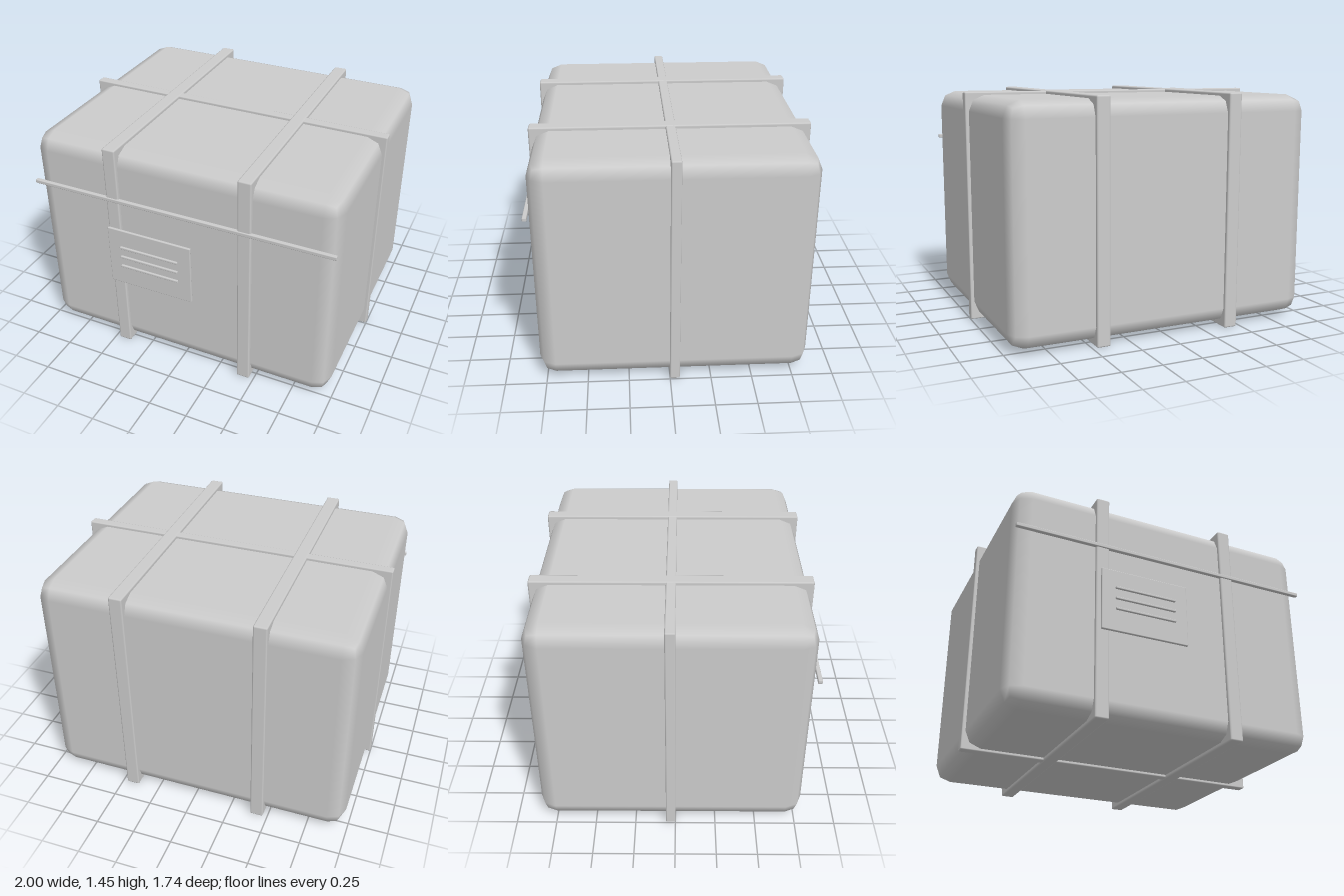
import * as THREE from 'three';
import { RoundedBoxGeometry } from 'three/addons/geometries/RoundedBoxGeometry.js';

export function createModel() {
  const group = new THREE.Group();
  const grey = new THREE.MeshStandardMaterial({ color: 0xcccccc });
  grey.name = 'light grey';

  const CENTRE_Y = 0.725, CENTRE_Z = -0.029;

  // Rounded block given by its size, centre and edge radius
  const block = (name, size, pos, radius) => {
    const mesh = new THREE.Mesh(new RoundedBoxGeometry(...size, 1, radius), grey);
    mesh.name = name;
    mesh.position.set(...pos);
    group.add(mesh);
  };

  // Padded parcel body
  block('body', [1.955, 1.408, 1.642], [0, CENTRE_Y, CENTRE_Z], 0.1);

  // Two straps running front to back, mirrored, and one running side to side
  for (const side of [-1, 1]) {
    block(side < 0 ? 'rightStrap' : 'leftStrap',
      [0.085, 1.45, 1.682], [side * 0.43, CENTRE_Y, CENTRE_Z], 0.01);
  }
  block('crossStrap', [2, 1.444, 0.06], [0, CENTRE_Y, CENTRE_Z], 0.008);

  // Thin seam rod across the front
  block('seamRod', [1.955, 0.024, 0.026], [0, 1.108, 0.807], 0.005);

  // Label plate with three raised lines
  block('labelPlate', [0.56, 0.4, 0.018], [-0.175, 0.73, 0.845], 0.005);
  for (let i = 0; i < 3; i++) {
    block('labelLine', [0.392, 0.015, 0.016], [-0.174, 0.81 - i * 0.069, 0.862], 0.004);
  }

  return group;
}
